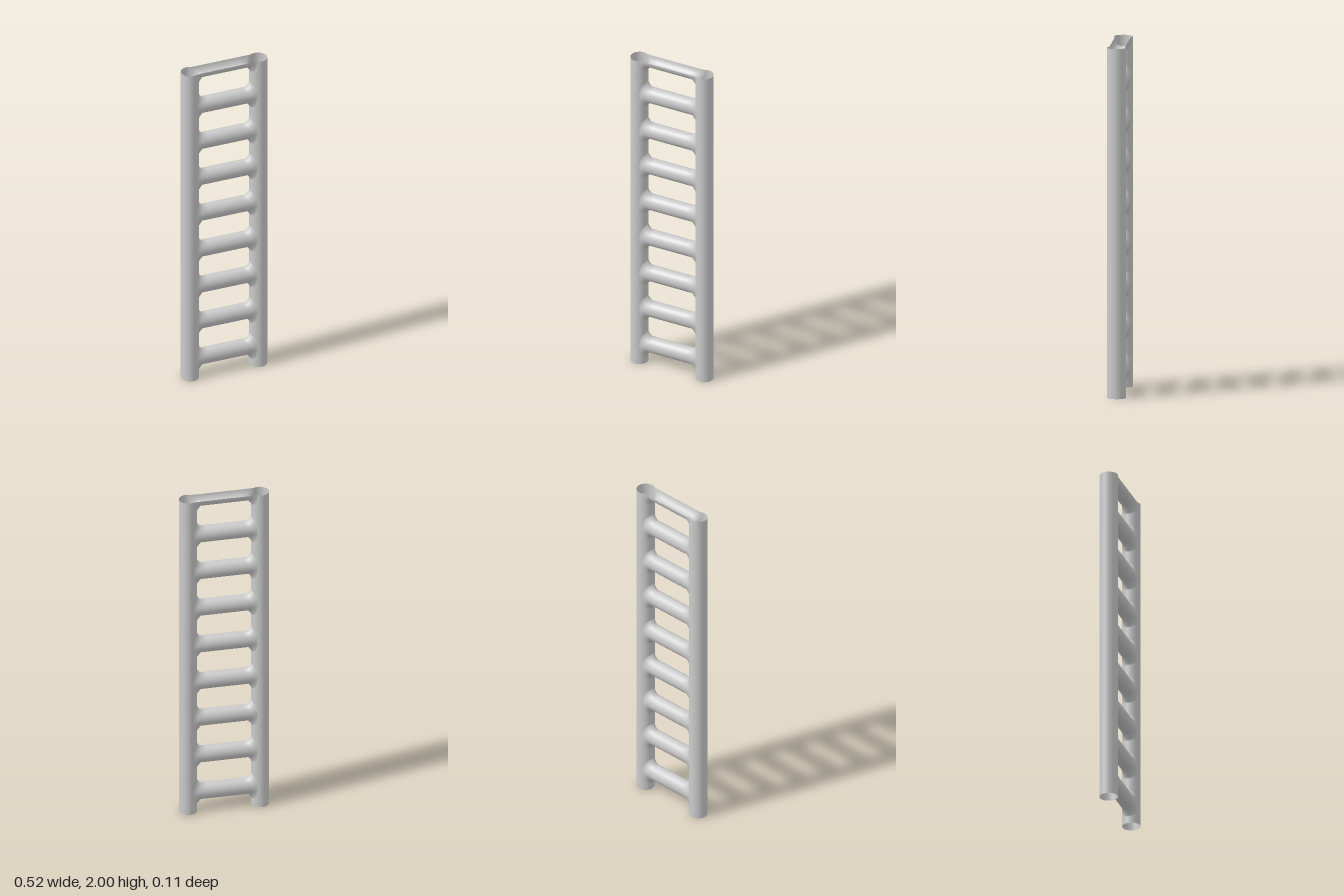
import * as THREE from 'three';
import { mergeVertices } from 'three/addons/utils/BufferGeometryUtils.js';

const RUNGS = 9, PITCH = 2 / 8.5;            // the top rung is cut in half at y = 2
const RAIL_X = 0.2085, RAIL_RX = 0.0515, RAIL_RZ = 0.053;
const HOLE_U = 1.05, HOLE_V = 0.075;         // opening in the rail: angle and half height
const RUNG_RY = 0.049, RUNG_RZ = 0.0445, LIFT = 0.004;
const N = 48, STEPS = 6;

// Point on the rail wall; u is the angle away from the ladder's middle
const onRail = (u, y) => [RAIL_X - RAIL_RX * Math.cos(u), y, RAIL_RZ * Math.sin(u)];

// Cross-sections at angle t, from the rail's wall to the rung
function stations(t, cy) {
  const c = Math.cos(t), s = Math.sin(t), m = Math.max(Math.abs(c), Math.abs(s));
  const points = [];
  for (let k = 0; k <= STEPS; k++) {
    const f = k / STEPS;
    const u = THREE.MathUtils.lerp(c / m * Math.PI / 2, HOLE_U * c, f);
    const y = THREE.MathUtils.lerp(s / m * PITCH / 2, HOLE_V * s + LIFT, f);
    points.push(onRail(u, cy + y));
  }
  points.push([0.137 + 0.021 * c * c, cy + LIFT + RUNG_RY * s, RUNG_RZ * c]);
  points.push([0.11, cy + LIFT + RUNG_RY * s, RUNG_RZ * c]);
  return points;
}

// Rungs flowing smoothly into the inner halves of both hollow rails
function rungGeometry() {
  const pos = [], index = [];
  for (let r = 0; r < RUNGS; r++) {
    const cy = PITCH * (r + 0.5), base = pos.length / 3;
    const half = r === RUNGS - 1;
    const count = half ? N / 2 : N;
    let width = 0;
    for (let j = 0; j <= count; j++) {
      const t = (half ? Math.PI : 0) + (j % N) / N * Math.PI * 2;
      const side = stations(t, cy);
      const row = [...side, ...side.map(([x, y, z]) => [-x, y, z]).reverse()];
      width = row.length;
      for (const [x, y, z] of row) pos.push(x, Math.min(y, 2), z);
    }
    for (let j = 0; j < count; j++) {
      for (let i = 0; i < width - 1; i++) {
        const a = base + j * width + i, b = a + width;
        index.push(a, b, a + 1, b, b + 1, a + 1);
      }
    }
  }
  let geo = new THREE.BufferGeometry();
  geo.setAttribute('position', new THREE.Float32BufferAttribute(pos, 3));
  geo.setIndex(index);
  geo = mergeVertices(geo, 1e-5);
  geo.computeVertexNormals();
  return geo;
}

export function createModel() {
  const group = new THREE.Group();
  group.name = 'ladder';
  const material = new THREE.MeshStandardMaterial({ color: 0xcccccc, side: THREE.DoubleSide });

  const rungs = new THREE.Mesh(rungGeometry(), material);
  rungs.name = 'rungsAndInnerRails';
  group.add(rungs);

  // Outer halves of the open-ended rails
  for (const side of [1, -1]) {
    const geo = new THREE.CylinderGeometry(1, 1, 2, 16, 1, true, side > 0 ? 0 : Math.PI, Math.PI);
    geo.scale(RAIL_RX, 1, RAIL_RZ);
    const rail = new THREE.Mesh(geo, material);
    rail.name = side > 0 ? 'leftOuterRail' : 'rightOuterRail';
    rail.position.set(side * RAIL_X, 1, 0);
    group.add(rail);
  }
  return group;
}
